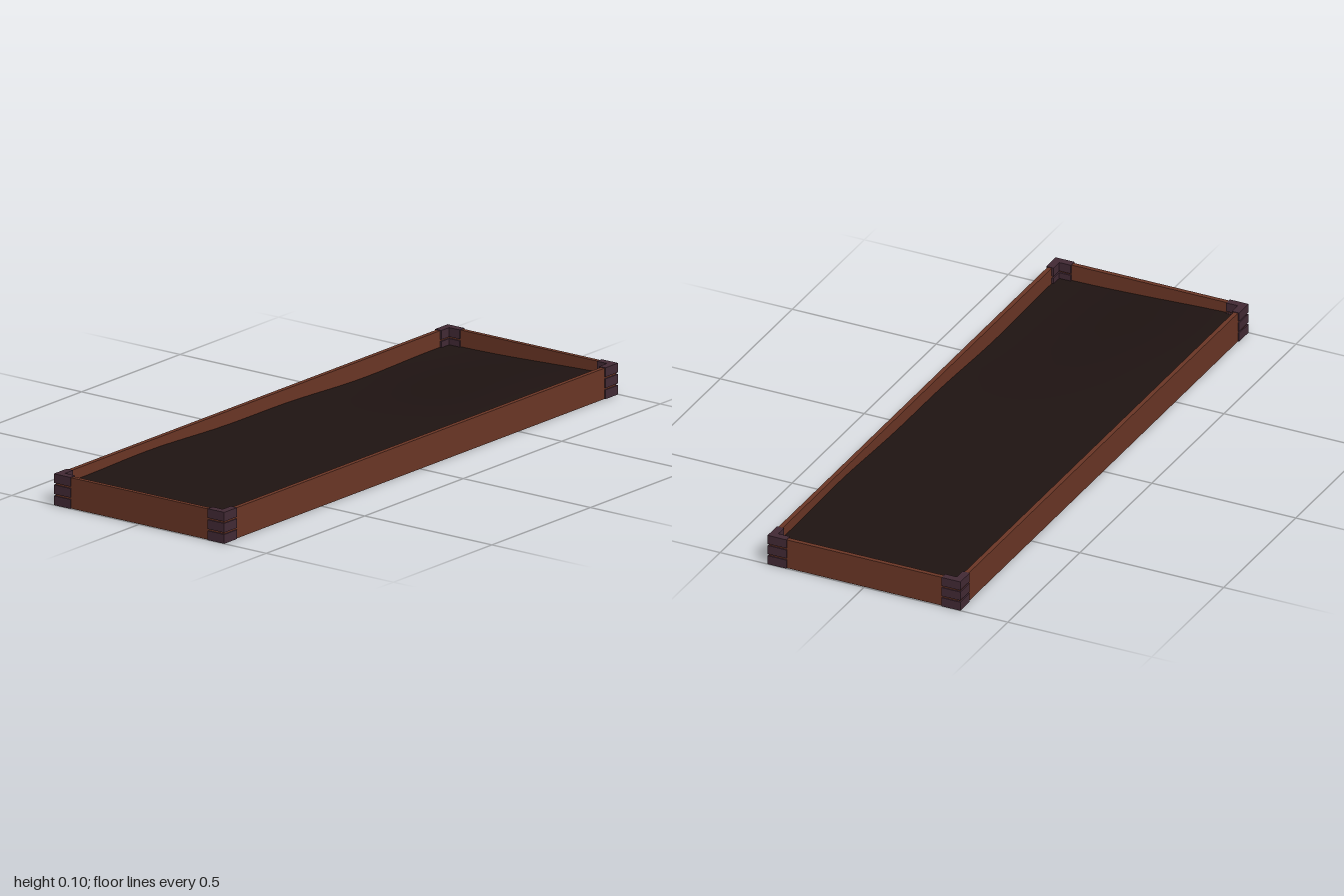
import * as THREE from 'three';

const wood = new THREE.MeshStandardMaterial({ color: 0x6b3626 });
const metal = new THREE.MeshStandardMaterial({ color: 0x432a35 });
const earth = new THREE.MeshStandardMaterial({ color: 0x1f1412, side: THREE.DoubleSide });

function box(name, size, pos, material) {
  const mesh = new THREE.Mesh(new THREE.BoxGeometry(...size), material);
  mesh.name = name;
  mesh.position.set(...pos);
  return mesh;
}

// L-shaped strap wrapping one corner, outer edge at (x, z)
function cornerStrap(sx, sz) {
  const X = 1, Z = 0.335, arm = 0.065, t = 0.025, h = 0.03;
  const outline = [[X, Z], [X - arm, Z], [X - arm, Z - t], [X - t, Z - t], [X - t, Z - arm], [X, Z - arm]];
  const shape = new THREE.Shape(outline.map(([x, z]) => new THREE.Vector2(x * sx, -z * sz)));
  const geometry = new THREE.ExtrudeGeometry(shape, { depth: h, bevelEnabled: false });
  geometry.rotateX(-Math.PI / 2);
  const mesh = new THREE.Mesh(geometry, metal);
  mesh.name = 'cornerStrap';
  return mesh;
}

// Gently uneven sheet of soil
function soilSurface() {
  const geometry = new THREE.PlaneGeometry(1.962, 0.632, 28, 10);
  geometry.rotateX(-Math.PI / 2);
  const p = geometry.attributes.position;
  for (let i = 0; i < p.count; i++) {
    const x = p.getX(i), z = p.getZ(i);
    const swell = 0.013 * Math.sin(x * 2) * Math.sin(z * 4.5);
    const ripple = 0.003 * Math.cos(x * 9 + z * 5);
    p.setY(i, 0.056 + swell + ripple);
  }
  geometry.computeVertexNormals();
  const mesh = new THREE.Mesh(geometry, earth);
  mesh.name = 'soil';
  return mesh;
}

export function createModel() {
  const group = new THREE.Group();
  group.name = 'raisedPlanter';

  // Four wooden walls
  const t = 0.015;
  for (const s of [-1, 1]) {
    group.add(box(s > 0 ? 'frontPlank' : 'backPlank', [1.99, 0.1, t], [0, 0.05, s * (0.331 - t / 2)], wood));
    group.add(box(s > 0 ? 'leftPlank' : 'rightPlank', [t, 0.1, 0.632], [s * (0.996 - t / 2), 0.05, 0], wood));
  }

  // Three straps on every corner
  for (const sx of [-1, 1]) {
    for (const sz of [-1, 1]) {
      const corner = new THREE.Group();
      corner.name = 'cornerBracket';
      for (let i = 0; i < 3; i++) {
        const strap = cornerStrap(sx, sz);
        strap.position.y = i * 0.036;
        corner.add(strap);
      }
      group.add(corner);
    }
  }

  group.add(soilSurface());
  return group;
}
